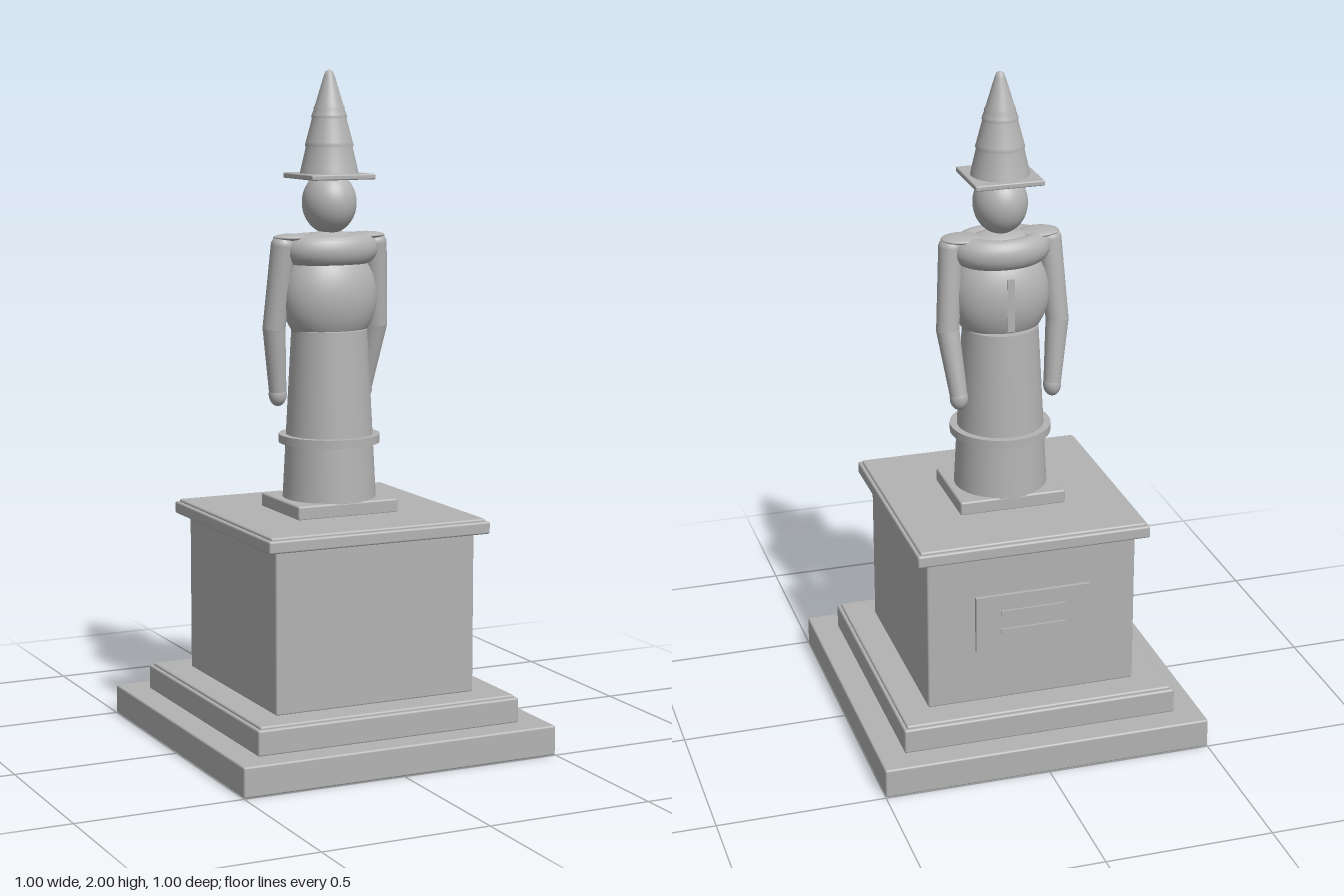
import * as THREE from 'three';
import { RoundedBoxGeometry } from 'three/addons/geometries/RoundedBoxGeometry.js';

export function createModel() {
  const model = new THREE.Group();
  const stone = new THREE.MeshStandardMaterial({ color: 0xb3b3b3 });
  stone.name = 'grey stone';

  const add = (name, geometry, x = 0, y = 0, z = 0) => {
    const mesh = new THREE.Mesh(geometry, stone);
    mesh.name = name;
    mesh.position.set(x, y, z);
    model.add(mesh);
    return mesh;
  };
  // Slab with softened edges, given by its half sizes and its bottom and top
  const slab = (name, hx, hz, y0, y1, r = 0.006) =>
    add(name, new RoundedBoxGeometry(2 * hx, y1 - y0, 2 * hz, 2, r), 0, (y0 + y1) / 2);
  const ellipsoid = (name, rx, ry, rz, x, y, z) =>
    add(name, new THREE.SphereGeometry(1, 40, 28).scale(rx, ry, rz), x, y, z);
  // Tapered limb between two points
  const limb = (name, a, b, ra, rb) => {
    const dir = b.clone().sub(a);
    const mesh = add(name, new THREE.CylinderGeometry(rb, ra, dir.length(), 24));
    mesh.position.copy(a).add(b).multiplyScalar(0.5);
    mesh.quaternion.setFromUnitVectors(new THREE.Vector3(0, 1, 0), dir.normalize());
  };

  // Stepped pedestal
  slab('baseSlab', 0.5, 0.5, 0, 0.09);
  slab('baseStep', 0.42, 0.42, 0.088, 0.164);
  slab('baseStepTop', 0.41, 0.41, 0.15, 0.172);
  slab('pedestalBlock', 0.32, 0.32, 0.17, 0.655);
  slab('pedestalCap', 0.355, 0.355, 0.65, 0.687);
  slab('pedestalCapTop', 0.345, 0.345, 0.67, 0.695);
  slab('figurePlinth', 0.163, 0.135, 0.692, 0.735);

  // Plaque on the back with two raised bars
  add('plaque', new THREE.BoxGeometry(0.35, 0.175, 0.02), 0, 0.428, -0.322);
  add('plaqueUpperBar', new THREE.BoxGeometry(0.2, 0.014, 0.009), 0, 0.46, -0.334);
  add('plaqueLowerBar', new THREE.BoxGeometry(0.2, 0.014, 0.009), 0, 0.4, -0.334);

  // Robe with its hem band
  add('robe', new THREE.CylinderGeometry(0.113, 0.14, 0.505, 48), 0, 0.985);
  add('robeBand', new THREE.CylinderGeometry(0.151, 0.151, 0.025, 48), 0, 0.912);

  // Torso, collar and back strip
  ellipsoid('torso', 0.148, 0.16, 0.111, 0, 1.335, 0);
  const collar = new THREE.TorusGeometry(0.105, 0.045, 20, 48).rotateX(Math.PI / 2).scale(1, 1, 0.73);
  add('collar', collar, 0, 1.475);
  ellipsoid('shoulders', 0.115, 0.055, 0.075, 0, 1.475, 0);
  add('backStrip', new THREE.BoxGeometry(0.022, 0.16, 0.009), 0, 1.33, -0.106);

  // Arms, with the left hand held a little further back
  for (const [side, sx, handZ] of [['left', 1, -0.07], ['right', -1, -0.045]]) {
    const shoulder = new THREE.Vector3(sx * 0.15, 1.49, 0);
    const elbow = new THREE.Vector3(sx * 0.168, 1.245, -0.026);
    const hand = new THREE.Vector3(sx * 0.148, 1.05, handZ);
    limb(side + 'UpperArm', shoulder, elbow, 0.036, 0.034);
    limb(side + 'Forearm', elbow, hand, 0.034, 0.026);
    ellipsoid(side + 'ShoulderJoint', 0.036, 0.032, 0.036, ...shoulder);
    ellipsoid(side + 'Elbow', 0.034, 0.034, 0.034, ...elbow);
    ellipsoid(side + 'Hand', 0.027, 0.036, 0.027, hand.x, hand.y - 0.005, hand.z);
    ellipsoid(side + 'Epaulette', 0.06, 0.011, 0.048, sx * 0.118, 1.513, 0);
  }

  // Head and square-brimmed hat
  ellipsoid('head', 0.08, 0.092, 0.085, 0, 1.612, 0);
  add('hatBrim', new RoundedBoxGeometry(0.206, 0.016, 0.206, 2, 0.004), 0, 1.69);
  // Conical crown with low rings, closed by a rounded tip
  const profile = [
    [0.088, 1.69], [0.083, 1.715], [0.069, 1.775], [0.072, 1.78], [0.069, 1.79],
    [0.051, 1.858], [0.053, 1.862], [0.051, 1.87], [0.045, 1.885], [0.046, 1.89],
    [0.042, 1.896], [0.016, 1.982], [0.011, 1.995], [0, 2],
  ].map(([r, y]) => new THREE.Vector2(r, y));
  add('hatCrown', new THREE.LatheGeometry(profile, 48));

  return model;
}
